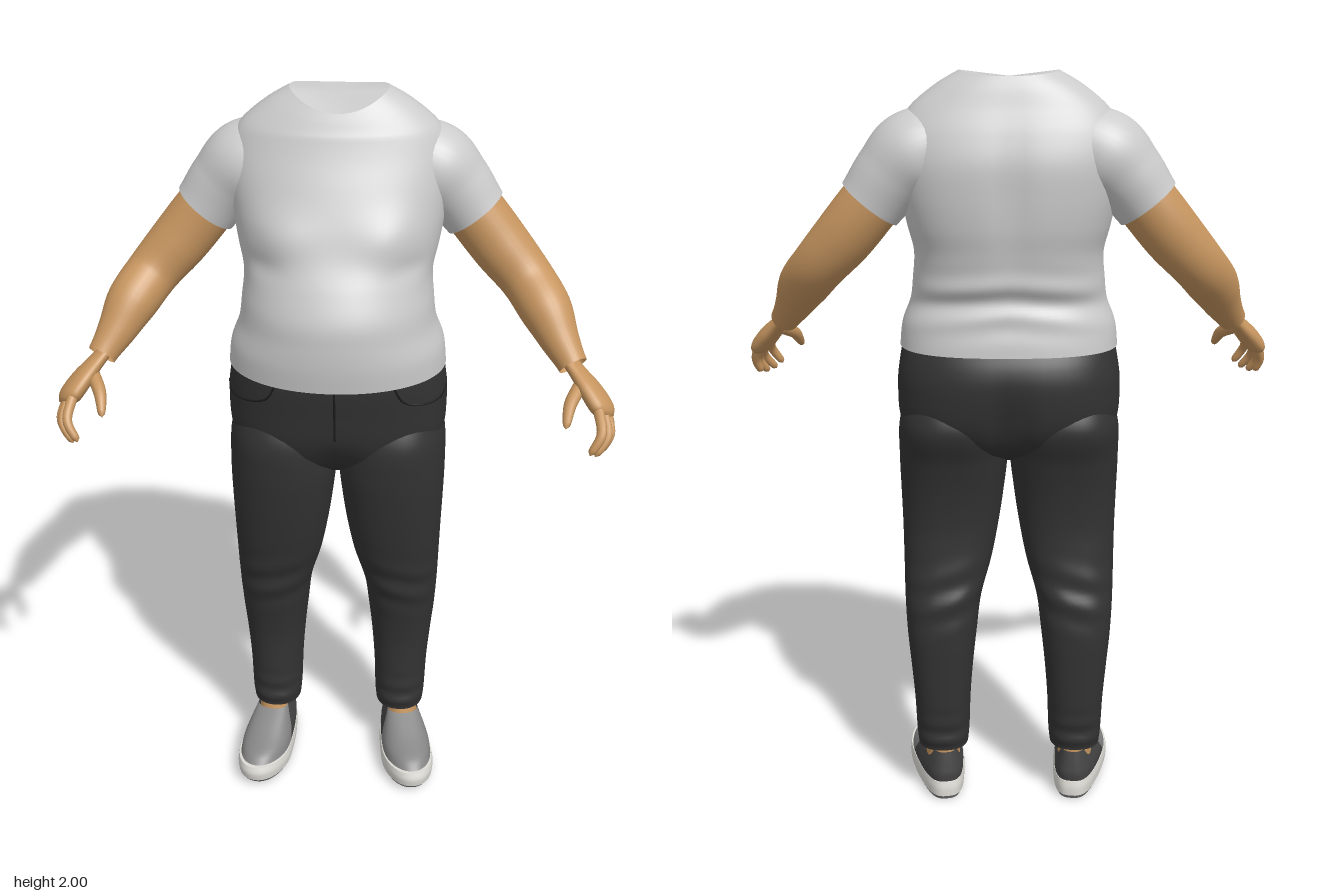
import * as THREE from 'three';
import { mergeVertices } from 'three/addons/utils/BufferGeometryUtils.js';

const mat = (color) => new THREE.MeshStandardMaterial({ color, side: THREE.DoubleSide });
const cloth = mat(0xcccccc), skin = mat(0xc6955f), denim = mat(0x333333), seam = mat(0x1c1c1c);
const vampGrey = mat(0x858585), quarterGrey = mat(0x454545), soleWhite = mat(0xdedcd6), treadGrey = mat(0x777777);

// Smooth interpolation through a list of numbers, t in 0..1
function spline(list, t) {
  const f = t * (list.length - 1), i = Math.min(Math.floor(f), list.length - 2), u = f - i;
  const g = (k) => list[Math.max(0, Math.min(list.length - 1, k))];
  const [a, b, c, d] = [g(i - 1), g(i), g(i + 1), g(i + 2)];
  return b + 0.5 * u * (c - a + u * (2 * a - 5 * b + 4 * c - d + u * (3 * (b - c) + d - a)));
}

// Point on a stacked body: sections are [y, centreX, halfWidth, zFront, zBack, zMiddle]
function surfacePoint(sections, t, a, { nf = 2.2, nb = 2.4, warp } = {}) {
  const col = (k) => spline(sections.map((s) => s[k] ?? (s[3] + s[4]) / 2), t);
  const c = Math.cos(a), s = Math.sin(a), e = 2 / (s > 0 ? nf : nb), cz = col(5);
  const p = new THREE.Vector3(
    col(1) + col(2) * Math.sign(c) * Math.abs(c) ** e,
    col(0),
    cz + (s > 0 ? col(3) - cz : col(4) - cz) * Math.abs(s) ** e);
  if (warp) warp(p, s);
  return p;
}

function makeMesh(name, geometry, material) {
  const m = new THREE.Mesh(geometry, material);
  m.name = name;
  return m;
}

// Loft through the sections, optionally over part of the ring and with flat caps
function loft(name, sections, material, o = {}) {
  const { from = 0, sweep = Math.PI * 2, top, bottom, rows = 40, cols = 56 } = o;
  const closed = sweep > 6.28, n = closed ? cols : cols + 1, pos = [], idx = [];
  const ring = (t) => {
    for (let j = 0; j < n; j++) pos.push(...surfacePoint(sections, t, from + sweep * j / cols, o).toArray());
  };
  for (let i = 0; i <= rows; i++) ring(i / rows);
  for (let i = 0; i < rows; i++) for (let j = 0; j < cols; j++) {
    const a = i * n + j, b = i * n + (j + 1) % n;
    idx.push(a, a + n, b, b, a + n, b + n);
  }
  const cap = (t, up) => {
    const s = pos.length / 3;
    ring(t);
    const mid = new THREE.Vector3();
    for (let j = 0; j < n; j++) mid.add(new THREE.Vector3().fromArray(pos, (s + j) * 3));
    pos.push(...mid.divideScalar(n).toArray());
    for (let j = 0; j < n; j++) {
      const k = s + (j + 1) % n;
      idx.push(s + n, up ? k : s + j, up ? s + j : k);
    }
  };
  if (top) cap(1, true);
  if (bottom) cap(0, false);
  const g = new THREE.BufferGeometry();
  g.setAttribute('position', new THREE.Float32BufferAttribute(pos, 3));
  g.setIndex(idx);
  g.computeVertexNormals();
  return makeMesh(name, g, material);
}

// Tube of changing radius: points are [x, y, z, radius]; flat squeezes it along a direction
function limb(name, pts, material, { rows = 24, cols = 20, flat, squeeze = 0 } = {}) {
  const curve = new THREE.CatmullRomCurve3(pts.map((p) => new THREE.Vector3(...p)));
  const g = new THREE.TubeGeometry(curve, rows, 1, cols), pos = g.attributes.position, v = new THREE.Vector3();
  for (let i = 0; i <= rows; i++) {
    const c = curve.getPointAt(i / rows), r = spline(pts.map((p) => p[3]), curve.getUtoTmapping(i / rows));
    for (let j = 0; j <= cols; j++) {
      const k = i * (cols + 1) + j;
      v.fromBufferAttribute(pos, k).sub(c).multiplyScalar(r);
      if (flat) v.addScaledVector(flat, -squeeze * v.dot(flat));
      v.add(c);
      pos.setXYZ(k, v.x, v.y, v.z);
    }
  }
  g.deleteAttribute('uv');
  g.deleteAttribute('normal');
  const merged = mergeVertices(g, 1e-6);
  merged.computeVertexNormals();
  return makeMesh(name, merged, material);
}

const bump = (d, w) => Math.exp(-((d / w) ** 2));

function makeShirt() {
  const sections = [
    [1.30, 0, 0.287, 0.205, -0.245, -0.03], [1.36, 0, 0.28, 0.213, -0.238, -0.03],
    [1.42, 0, 0.258, 0.215, -0.225, -0.03], [1.48, 0, 0.25, 0.21, -0.235, -0.04],
    [1.55, 0, 0.245, 0.18, -0.245, -0.06], [1.62, 0, 0.26, 0.14, -0.26, -0.08],
    [1.70, 0, 0.275, 0.108, -0.268, -0.1], [1.78, 0, 0.285, 0.072, -0.268, -0.11],
    [1.85, 0, 0.28, 0.038, -0.25, -0.115], [1.91, 0, 0.25, 0.015, -0.226, -0.11],
    [1.965, 0, 0.185, 0.0, -0.208, -0.105], [2.0, 0, 0.125, -0.01, -0.193, -0.1]];
  const warp = (p, s) => {
    const front = Math.max(0, s), back = Math.max(0, -s), x = Math.abs(p.x);
    // Soft chest, the crease below it and folds at the waist
    p.z += front * (0.022 * bump(x - 0.15, 0.08) * bump(p.y - 1.67, 0.06)
      - 0.016 * bump(x - 0.2, 0.06) * bump(p.y - 1.59, 0.03));
    p.z += back * (0.007 * Math.sin(p.y * 75 + x * 8) * bump(p.y - 1.43, 0.07)
      + 0.012 * bump(x, 0.04) * bump(p.y - 1.7, 0.15));
    // Neckline dips at the front and slightly at the back
    p.y -= Math.max(0, (p.y - 1.9) / 0.1) * (s > 0 ? 0.048 : 0.012) * s * s;
  };
  const g = new THREE.Group();
  g.name = 'shirt';
  g.add(loft('shirtBody', sections, cloth, { nf: 2.05, nb: 2.6, warp, rows: 80, cols: 80, top: true }));
  return g;
}

function makeHips() {
  const sections = [
    [0.985, 0, 0.1, 0.03, -0.1], [1.03, 0, 0.235, 0.09, -0.19], [1.1, 0, 0.286, 0.125, -0.245],
    [1.2, 0, 0.294, 0.142, -0.264], [1.27, 0, 0.287, 0.152, -0.256], [1.34, 0, 0.272, 0.155, -0.222]];
  const o = { nf: 2.5, nb: 2.5, top: true, bottom: true, warp: (p, s) => {
    if (s < 0) p.z += 0.03 * bump(p.x, 0.035) * bump(p.y - 1.1, 0.09);
    else p.z -= 0.02 * bump(p.x, 0.05) * bump(p.y - 1.04, 0.06);
  } };
  const g = new THREE.Group();
  g.name = 'hips';
  g.add(loft('trouserSeat', sections, denim, o));
  // Pocket edges and fly lie on the surface
  const line = (name, pts) => g.add(limb(name, pts.map(([t, a]) =>
    [...surfacePoint(sections, t, a, o).toArray(), 0.003]), seam, { cols: 6 }));
  line('leftPocketEdge', [[0.86, 1.1], [0.72, 1.0], [0.66, 0.72], [0.66, 0.4], [0.7, 0.15]]);
  line('rightPocketEdge', [[0.86, 2.04], [0.72, 2.14], [0.66, 2.42], [0.66, 2.74], [0.7, 2.99]]);
  line('fly', [[0.86, 1.57], [0.66, 1.57], [0.46, 1.57]]);
  return g;
}

function makeFoot() {
  const g = new THREE.Group();
  g.name = 'foot';
  // Narrower heel and a slightly raised toe
  const warp = (p) => {
    p.x *= 0.84 + 0.16 * THREE.MathUtils.smoothstep(p.z, -0.05, 0.17);
    p.y += 0.012 * THREE.MathUtils.smoothstep(p.z, 0.15, 0.29);
  };
  const o = { warp, nf: 2.2, nb: 2.8, rows: 10 };
  const upper = [
    [0.05, 0, 0.072, 0.27, -0.076, 0.12], [0.075, 0, 0.071, 0.245, -0.08, 0.10],
    [0.095, 0, 0.066, 0.2, -0.077, 0.085], [0.118, 0, 0.058, 0.145, -0.073, 0.07],
    [0.142, 0, 0.049, 0.088, -0.068, 0.05]];
  g.add(
    loft('tread', [[0, 0, 0.068, 0.272, -0.076, 0.13], [0.012, 0, 0.073, 0.28, -0.082, 0.13]], treadGrey, { ...o, bottom: true, rows: 2 }),
    loft('sole', [[0.012, 0, 0.075, 0.282, -0.084, 0.13], [0.035, 0, 0.077, 0.285, -0.084, 0.13],
      [0.055, 0, 0.074, 0.278, -0.08, 0.13]], soleWhite, { ...o, top: true, bottom: true }),
    loft('shoeVamp', upper, vampGrey, { ...o, sweep: Math.PI }),
    loft('shoeQuarter', upper, quarterGrey, { ...o, from: Math.PI, sweep: Math.PI }),
    loft('ankle', [[0.09, 0, 0.05, 0.09, -0.06], [0.14, 0, 0.047, 0.075, -0.056], [0.22, 0, 0.045, 0.05, -0.055]], skin, { rows: 12 }));
  g.position.set(0.188, 0, -0.09);
  g.rotation.y = 0.17;
  return g;
}

function makeHand() {
  const g = new THREE.Group();
  g.name = 'hand';
  const along = new THREE.Vector3(0.07, -0.085, 0.085), across = new THREE.Vector3(-0.025, 0.015, 0.08);
  const flat = along.cross(across).normalize();
  g.add(limb('palm', [[0.595, 1.352, 0.06, 0.036], [0.622, 1.325, 0.09, 0.04], [0.655, 1.29, 0.125, 0.052],
    [0.683, 1.255, 0.155, 0.052], [0.692, 1.24, 0.168, 0.03], [0.693, 1.235, 0.172, 0.001]], skin, { flat, squeeze: 0.5 }));
  // Knuckle, middle joint and tip of each digit
  const digits = {
    indexFinger: [[0.668, 1.27, 0.18], [0.675, 1.22, 0.235], [0.648, 1.172, 0.255]],
    middleFinger: [[0.682, 1.26, 0.165], [0.693, 1.205, 0.213], [0.664, 1.16, 0.237]],
    ringFinger: [[0.69, 1.25, 0.145], [0.704, 1.2, 0.183], [0.682, 1.158, 0.205]],
    littleFinger: [[0.692, 1.25, 0.125], [0.706, 1.205, 0.148], [0.695, 1.168, 0.163]],
    thumb: [[0.628, 1.305, 0.12], [0.598, 1.275, 0.18], [0.586, 1.232, 0.23]],
  };
  for (const [name, [a, b, c]] of Object.entries(digits)) {
    const k = name === 'thumb' ? 1.3 : 1;
    const near = c.map((v, i) => v + (b[i] - v) * 0.15);
    g.add(limb(name, [[...a, 0.014 * k], [...b, 0.0125 * k], [...near, 0.0095], [...c, 0.0008]], skin, { cols: 10, rows: 16 }));
  }
  return g;
}

function makeSide(name) {
  const g = new THREE.Group();
  g.name = name;
  // Trouser leg with soft creases round the knee and cuff
  g.add(loft('trouserLeg', [
    [0.155, 0.186, 0.07, -0.003, -0.172], [0.2, 0.186, 0.074, 0, -0.178], [0.3, 0.186, 0.078, 0, -0.19],
    [0.4, 0.186, 0.086, 0.002, -0.197], [0.5, 0.185, 0.096, 0.018, -0.202], [0.6, 0.181, 0.105, 0.04, -0.195],
    [0.7, 0.168, 0.12, 0.064, -0.178], [0.8, 0.159, 0.131, 0.086, -0.17], [0.9, 0.153, 0.14, 0.105, -0.181],
    [1.0, 0.149, 0.146, 0.12, -0.206], [1.1, 0.151, 0.14, 0.122, -0.24], [1.2, 0.15, 0.11, 0.08, -0.2]], denim, {
    rows: 90, warp: (p, s) => {
      p.z += s * (0.005 * Math.sin(p.y * 70 + p.x * 20) * bump(p.y - 0.62, 0.08) + 0.004 * Math.sin(p.y * 110) * bump(p.y - 0.2, 0.06));
    } }));
  g.add(makeFoot());
  g.add(limb('sleeve', [[0.12, 1.84, -0.122, 0.09], [0.235, 1.795, -0.128, 0.112], [0.298, 1.74, -0.13, 0.097],
    [0.35, 1.675, -0.128, 0.086]], cloth, { rows: 30, cols: 36 }));
  g.add(limb('arm', [[0.28, 1.755, -0.13, 0.075], [0.35, 1.675, -0.128, 0.078], [0.42, 1.59, -0.115, 0.077],
    [0.49, 1.512, -0.085, 0.07], [0.54, 1.45, -0.02, 0.067], [0.575, 1.39, 0.03, 0.051], [0.61, 1.337, 0.075, 0.038]],
    skin, { rows: 40, cols: 28 }));
  g.add(makeHand());
  return g;
}

export function createModel() {
  const model = new THREE.Group();
  model.name = 'clothedFigure';
  const right = makeSide('rightLimbs');
  right.scale.x = -1;
  model.add(makeShirt(), makeHips(), makeSide('leftLimbs'), right);
  return model;
}
